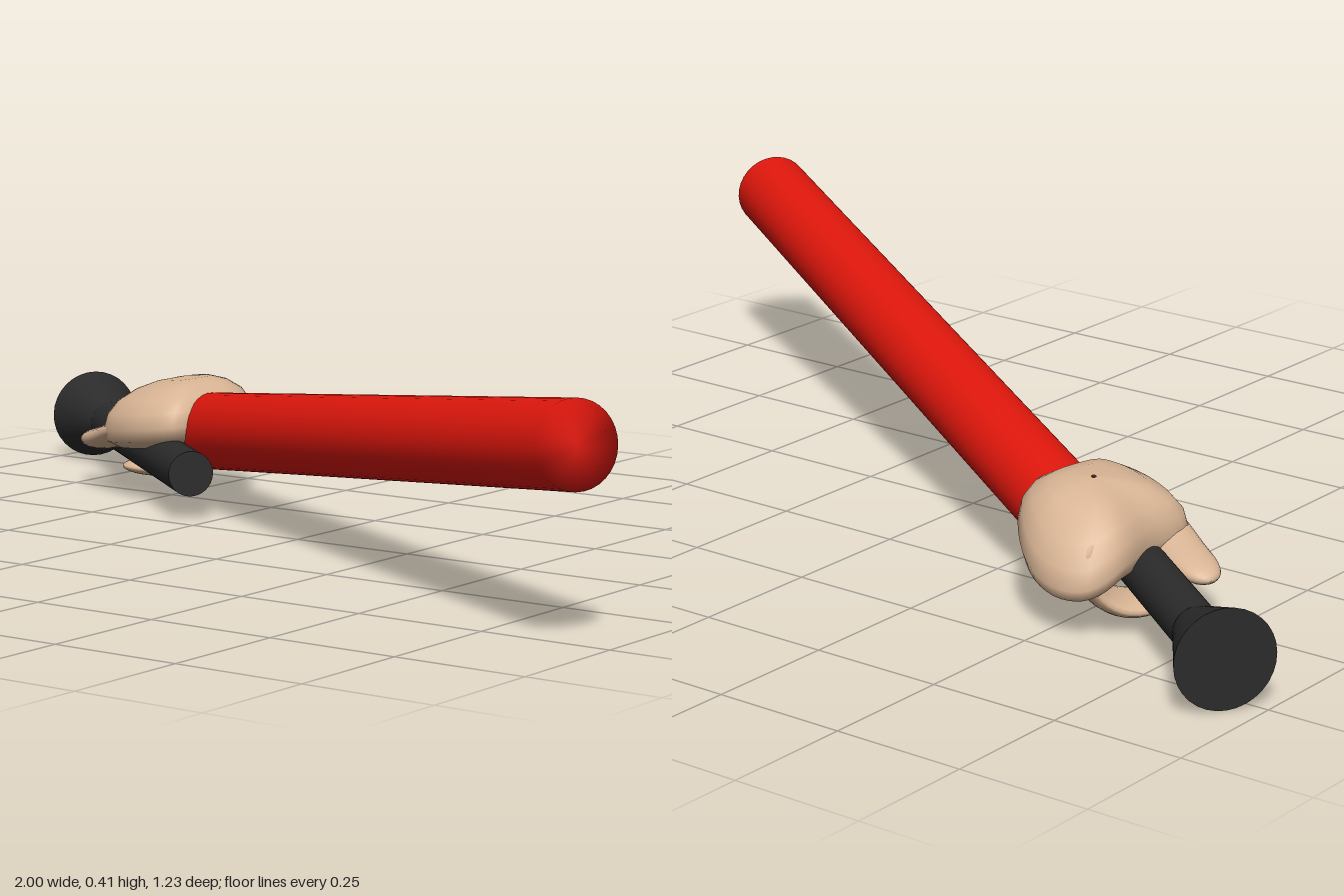
import * as THREE from 'three';
import { mergeVertices } from 'three/addons/utils/BufferGeometryUtils.js';

const V = (x, y, z) => new THREE.Vector3(x, y, z);

function addMesh(group, name, geometry, color) {
  const mesh = new THREE.Mesh(geometry, new THREE.MeshStandardMaterial({ color }));
  mesh.name = name;
  group.add(mesh);
  return mesh;
}

// Cylinder or cone running from point a to point b
function rod(group, name, a, b, radiusA, radiusB, color, softCaps = false) {
  let geometry = new THREE.CylinderGeometry(radiusB, radiusA, a.distanceTo(b), 32);
  if (softCaps) {
    geometry.deleteAttribute('uv');
    geometry.deleteAttribute('normal');
    geometry = mergeVertices(geometry, 1e-5);
    geometry.computeVertexNormals();
  }
  const mesh = addMesh(group, name, geometry, color);
  mesh.position.copy(a).add(b).multiplyScalar(0.5);
  mesh.quaternion.setFromUnitVectors(V(0, 1, 0), b.clone().sub(a).normalize());
  return mesh;
}

// Closed skin over a list of rings, each with the same number of points
function loft(rings) {
  const n = rings[0].length;
  const positions = rings.flat().flatMap((p) => [p.x, p.y, p.z]);
  const index = [];
  for (let i = 0; i < rings.length - 1; i++) {
    for (let j = 0; j < n; j++) {
      const a = i * n + j, b = i * n + (j + 1) % n;
      index.push(a, b, b + n, a, b + n, a + n);
    }
  }
  const geometry = new THREE.BufferGeometry();
  geometry.setAttribute('position', new THREE.Float32BufferAttribute(positions, 3));
  geometry.setIndex(index);
  geometry.computeVertexNormals();
  return geometry;
}

// Rounded strip along a path, flattened across the given width direction
function strip(points, width, halfWidth, halfThickness) {
  const curve = new THREE.CatmullRomCurve3(points);
  const rings = [];
  const steps = 24;
  for (let i = 0; i <= steps; i++) {
    const s = (1 - Math.cos(Math.PI * i / steps)) / 2;
    const centre = curve.getPoint(s);
    const tangent = curve.getTangent(s);
    const w = width.clone().addScaledVector(tangent, -width.dot(tangent)).normalize();
    const m = tangent.clone().cross(w);
    const taper = Math.max(0.03, Math.sqrt(Math.max(0, 1 - (2 * s - 1) ** 4)));
    const ring = [];
    for (let j = 0; j < 20; j++) {
      const a = j / 20 * Math.PI * 2;
      ring.push(centre.clone()
        .addScaledVector(w, Math.cos(a) * halfWidth * taper)
        .addScaledVector(m, Math.sin(a) * halfThickness * taper));
    }
    rings.push(ring);
  }
  return loft(rings);
}

// Back of the hand: a rounded outline stacked upward, tilted and drooping at the knuckles
function palmGeometry() {
  const outline = new THREE.CatmullRomCurve3([
    [-0.55, -0.47], [-0.6, -0.45], [-0.625, -0.39], [-0.61, -0.28],
    [-0.61, -0.17], [-0.53, -0.12], [-0.45, -0.105], [-0.39, -0.12],
    [-0.365, -0.2], [-0.36, -0.32], [-0.41, -0.4], [-0.48, -0.455],
  ].map(([x, z]) => V(x, 0, z)), true).getPoints(48).slice(0, -1);
  const centre = V(-0.49, 0, -0.29);
  const levels = [
    [0.105, 0.03], [0.105, 0.4], [0.11, 0.8], [0.125, 0.95], [0.15, 1],
    [0.18, 0.95], [0.205, 0.82], [0.225, 0.6], [0.236, 0.35], [0.24, 0.03],
  ];
  return loft(levels.map(([y, scale]) => outline.map((p) => {
    const q = p.clone().sub(centre).multiplyScalar(scale).add(centre);
    q.y = y + 0.12 * (q.x + 0.49) - 0.5 * Math.max(0, -0.38 - q.z);
    return q;
  })));
}

export function createModel() {
  const model = new THREE.Group();
  const skin = 0xd9b595, red = 0xe0170c, black = 0x2b2b2b;

  // Sleeved arm
  rod(model, 'sleeve', V(-0.48, 0.13, -0.29), V(0.96, 0.34, 0.545), 0.076, 0.076, red, true);

  // Flashlight: barrel and flared head
  const flashlight = new THREE.Group();
  flashlight.name = 'flashlight';
  const neck = V(-0.835, 0.092, -0.468);
  rod(flashlight, 'barrel', V(-0.29, 0.092, -0.045), neck, 0.044, 0.044, black);
  rod(flashlight, 'flaredHead', neck, V(-0.945, 0.092, -0.547), 0.044, 0.09, black);
  model.add(flashlight);

  // Hand wrapped round the barrel
  const hand = new THREE.Group();
  hand.name = 'hand';
  addMesh(hand, 'palm', palmGeometry(), skin);

  const along = V(0.79, 0, 0.61), across = V(0.61, 0, -0.79);
  const grip = (offset, y) => V(-0.615, y, -0.3).addScaledVector(across, offset);
  addMesh(hand, 'curledFingers', strip(
    [grip(0.1, 0.19), grip(0.125, 0.14), grip(0.1, 0.075), grip(0.05, 0.045), grip(-0.04, 0.044)],
    along, 0.065, 0.02), skin);
  addMesh(hand, 'thumb', strip(
    [V(-0.47, 0.165, -0.17), V(-0.55, 0.14, -0.18), V(-0.64, 0.11, -0.225), V(-0.725, 0.093, -0.268)],
    across, 0.045, 0.023), skin);
  model.add(hand);

  return model;
}
